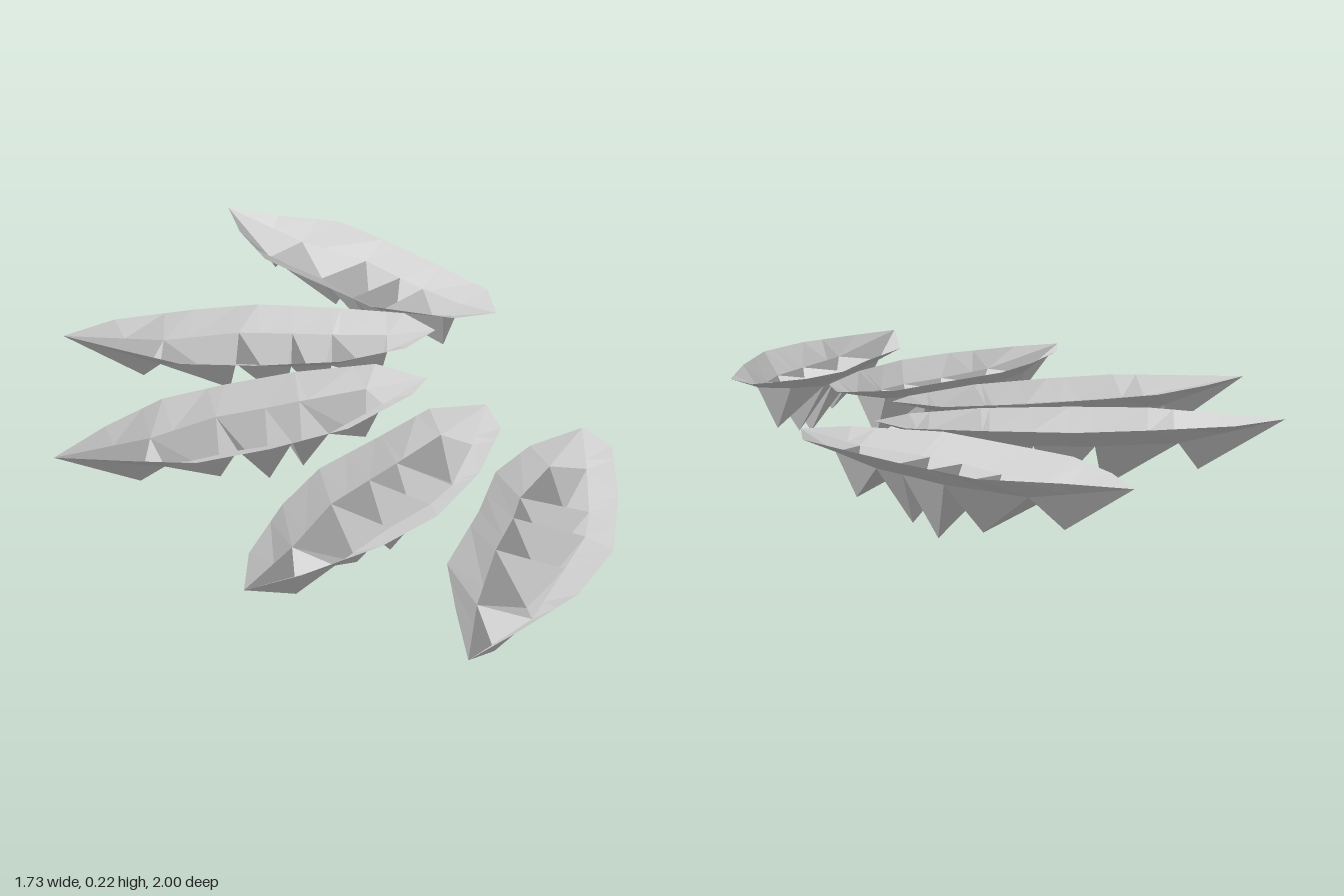
import * as THREE from 'three';

const TOP = 0.215;

// Rim of each blade on the top plane, [x, z]: outer tip, one side, inner end, and back along the other side
const rims = [
  [[.73, -1], [.78, -.84], [.86, -.66], [.83, -.41], [.795, -.225], [.755, -.04],
    [.65, .06], [.55, -.02], [.465, -.25], [.495, -.5], [.52, -.685], [.62, -.865]],
  [[-.2, -.84], [-.04, -.79], [.14, -.65], [.28, -.52], [.405, -.315], [.49, -.15],
    [.46, -.02], [.325, -.025], [.15, -.125], [-.01, -.3], [-.125, -.47], [-.165, -.66]],
  [[-.7, -.41], [-.5, -.41], [-.3, -.385], [-.14, -.3], [.03, -.19], [.2, -.04],
    [.22, .12], [.125, .14], [-.125, .11], [-.33, .01], [-.5, -.1], [-.6, -.25]],
  [[-.87, .36], [-.74, .27], [-.52, .2], [-.33, .17], [-.1, .2], [.09, .22],
    [.2, .33], [.12, .43], [-.1, .51], [-.33, .54], [-.52, .51], [-.74, .43]],
  [[-.78, .94], [-.64, .81], [-.49, .68], [-.25, .61], [-.07, .54], [.09, .54],
    [.25, .6], [.22, .71], [.02, .85], [-.2, .97], [-.41, 1], [-.62, .97]],
];

// Notches between teeth: station along the rim, both edges across the blade (0..1), height
const notches = [
  [0, .5, .5, TOP],
  [1.64, .26, .78, .165],
  [2.72, .2, .72, .165],
  [3.42, .22, .78, .165],
  [3.9, .22, .78, .165],
  [4.72, .32, .72, .18],
  [6, .5, .5, TOP],
];

// Tooth points, one between each pair of notches: station, position across, height
const teeth = [
  [1.36, .5, .085],
  [2.6, .48, .04],
  [3.3, .48, 0],
  [3.75, .5, .02],
  [4.6, .52, .06],
];

function rimAt(points, s) {
  const i = Math.min(Math.floor(s), 5);
  const [a, b] = [points[i], points[i + 1]].map(([x, z]) => new THREE.Vector3(x, TOP, z));
  return a.lerp(b, s - i);
}

function bladeGeometry(rim) {
  const sideA = rim.slice(0, 7);
  const sideB = [rim[0], ...rim.slice(6).reverse()];
  const across = (s, f, y) => rimAt(sideA, s).lerp(rimAt(sideB, s), f).setY(y);
  const edgeA = notches.map(([s, f, , y]) => across(s, f, y));
  const edgeB = notches.map(([s, , f, y]) => across(s, f, y));
  const positions = [];
  const tri = (...corners) => corners.forEach((p) => positions.push(p.x, p.y, p.z));

  // Sloping walls from the rim in to the straight notch edges
  const stations = [...new Set([...notches.map((n) => n[0]), 1, 2, 3, 4, 5])].sort((a, b) => a - b);
  const edgeAt = (edge, s) => {
    const i = Math.max(notches.findIndex((n) => n[0] >= s), 1);
    const [s0, s1] = [notches[i - 1][0], notches[i][0]];
    return edge[i - 1].clone().lerp(edge[i], (s - s0) / (s1 - s0));
  };
  for (let i = 1; i < stations.length; i++) {
    const [s, t] = [stations[i - 1], stations[i]];
    const [a0, a1, b0, b1] = [rimAt(sideA, s), rimAt(sideA, t), rimAt(sideB, s), rimAt(sideB, t)];
    const [p0, p1, q0, q1] = [edgeAt(edgeA, s), edgeAt(edgeA, t), edgeAt(edgeB, s), edgeAt(edgeB, t)];
    tri(a0, p0, a1);
    tri(p0, p1, a1);
    tri(q0, b0, q1);
    tri(b0, b1, q1);
  }

  // Hanging teeth: long slope, two flanks and a steep inner face
  teeth.forEach(([s, f, y], i) => {
    const point = across(s, f, y);
    tri(edgeA[i], edgeB[i], point);
    tri(edgeA[i], point, edgeA[i + 1]);
    tri(edgeB[i], edgeB[i + 1], point);
    tri(point, edgeB[i + 1], edgeA[i + 1]);
  });

  // Floor behind the last tooth
  tri(edgeA[5], edgeB[5], edgeA[6]);

  const geometry = new THREE.BufferGeometry();
  geometry.setAttribute('position', new THREE.Float32BufferAttribute(positions, 3));
  geometry.computeVertexNormals();
  return geometry;
}

export function createModel() {
  const group = new THREE.Group();
  group.name = 'serratedBlades';
  const material = new THREE.MeshStandardMaterial({
    color: 0xcccccc, flatShading: true, side: THREE.DoubleSide,
  });
  rims.forEach((rim, i) => {
    const blade = new THREE.Mesh(bladeGeometry(rim), material);
    blade.name = `blade${i + 1}`;
    group.add(blade);
  });
  return group;
}
